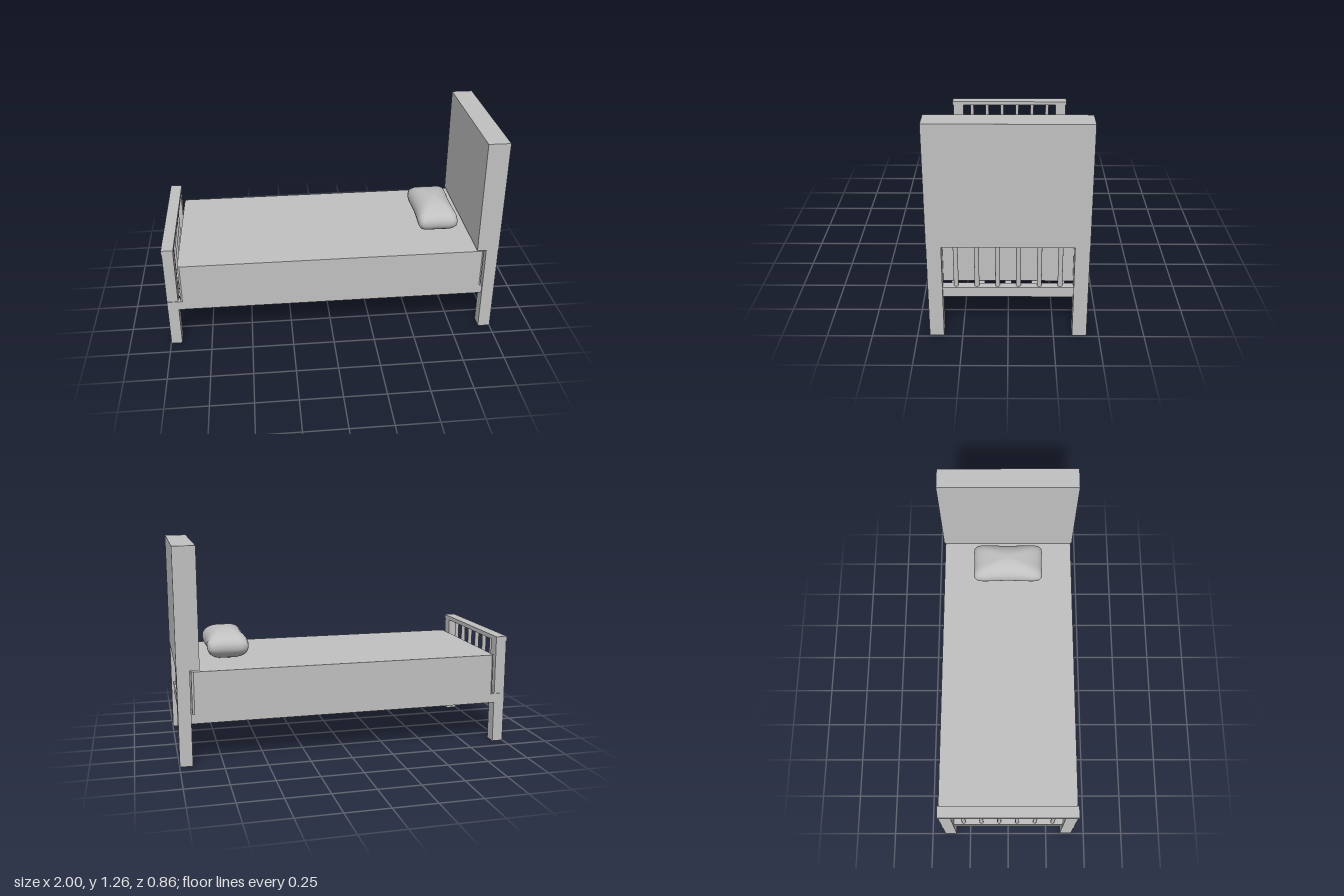
import * as THREE from 'three';

export function createModel() {
  const bed = new THREE.Group();
  bed.name = 'bed';
  const grey = new THREE.MeshStandardMaterial({ color: 0xc0c0c0 });
  grey.name = 'plain grey';

  const add = (name, geometry) => {
    const mesh = new THREE.Mesh(geometry, grey);
    mesh.name = name;
    bed.add(mesh);
    return mesh;
  };
  // Box given by its lower and upper limits on each axis
  const box = (name, x0, x1, y0, y1, z0, z1) =>
    add(name, new THREE.BoxGeometry(x1 - x0, y1 - y0, z1 - z0))
      .position.set((x0 + x1) / 2, (y0 + y1) / 2, (z0 + z1) / 2);

  // Headboard and footboard cap
  box('headboard', 0.87, 1, 0.565, 1.26, -0.432, 0.432);
  box('footboardCap', -1, -0.93, 0.64, 0.667, -0.422, 0.422);

  // Legs and side rails, mirrored front to back
  for (const s of [-1, 1]) {
    const side = (name, x0, x1, y0, y1, za, zb) =>
      box(name, x0, x1, y0, y1, Math.min(s * za, s * zb), Math.max(s * za, s * zb));
    side('headLeg', 0.925, 0.999, 0.005, 0.85, 0.352, 0.431);
    side('footLeg', -0.998, -0.932, 0, 0.64, 0.342, 0.416);
    side('sideRail', -0.998, 0.926, 0.252, 0.308, 0.38, 0.42);
  }

  // End rails between the legs
  box('headRail', 0.94, 0.985, 0.25, 0.309, -0.36, 0.36);
  box('footRail', -0.985, -0.945, 0.25, 0.309, -0.36, 0.36);

  // Round spindles of both ends
  for (let i = 0; i < 6; i++) {
    const z = (i - 2.5) * 0.112;
    for (const [name, x, top] of [['headSpindle', 0.962, 0.57], ['footSpindle', -0.965, 0.645]]) {
      const h = top - 0.3;
      add(name, new THREE.CylinderGeometry(0.013, 0.013, h, 16)).position.set(x, 0.3 + h / 2, z);
    }
  }

  // Lengthwise slats
  for (let i = -2; i <= 2; i++) {
    box('slat', -0.95, 0.945, 0.272, 0.302, i * 0.145 - 0.018, i * 0.145 + 0.018);
  }

  // Mattress with slightly clipped corners
  const w = 0.917, d = 0.424, c = 0.012;
  const outline = new THREE.Shape([
    [-w + c, -d], [w - c, -d], [w, -d + c], [w, d - c],
    [w - c, d], [-w + c, d], [-w, d - c], [-w, -d + c],
  ].map(([x, y]) => new THREE.Vector2(x, y)));
  const mattress = new THREE.ExtrudeGeometry(outline, { depth: 0.247, bevelEnabled: false });
  mattress.rotateX(-Math.PI / 2);
  add('mattress', mattress).position.y = 0.308;

  // Pillow: a sphere squared off in plan, waisted along its length, flat below
  const pillow = new THREE.SphereGeometry(1, 48, 32);
  const p = pillow.attributes.position;
  for (let i = 0; i < p.count; i++) {
    const x = p.getX(i), y = p.getY(i), z = p.getZ(i);
    const r = Math.hypot(x, z);
    const k = r > 1e-6 ? r / Math.pow(Math.abs(x) ** 6 + Math.abs(z) ** 6, 1 / 6) : 1;
    const u = x * k, v = z * k;
    p.setXYZ(i,
      u * (0.117 + 0.018 * v * v),
      Math.max(Math.sign(y) * Math.abs(y) ** 0.9 * 0.095, -0.087),
      v * (0.222 + 0.014 * u * u));
  }
  pillow.computeVertexNormals();
  add('pillow', pillow).position.set(0.68, 0.641, 0);

  return bed;
}
